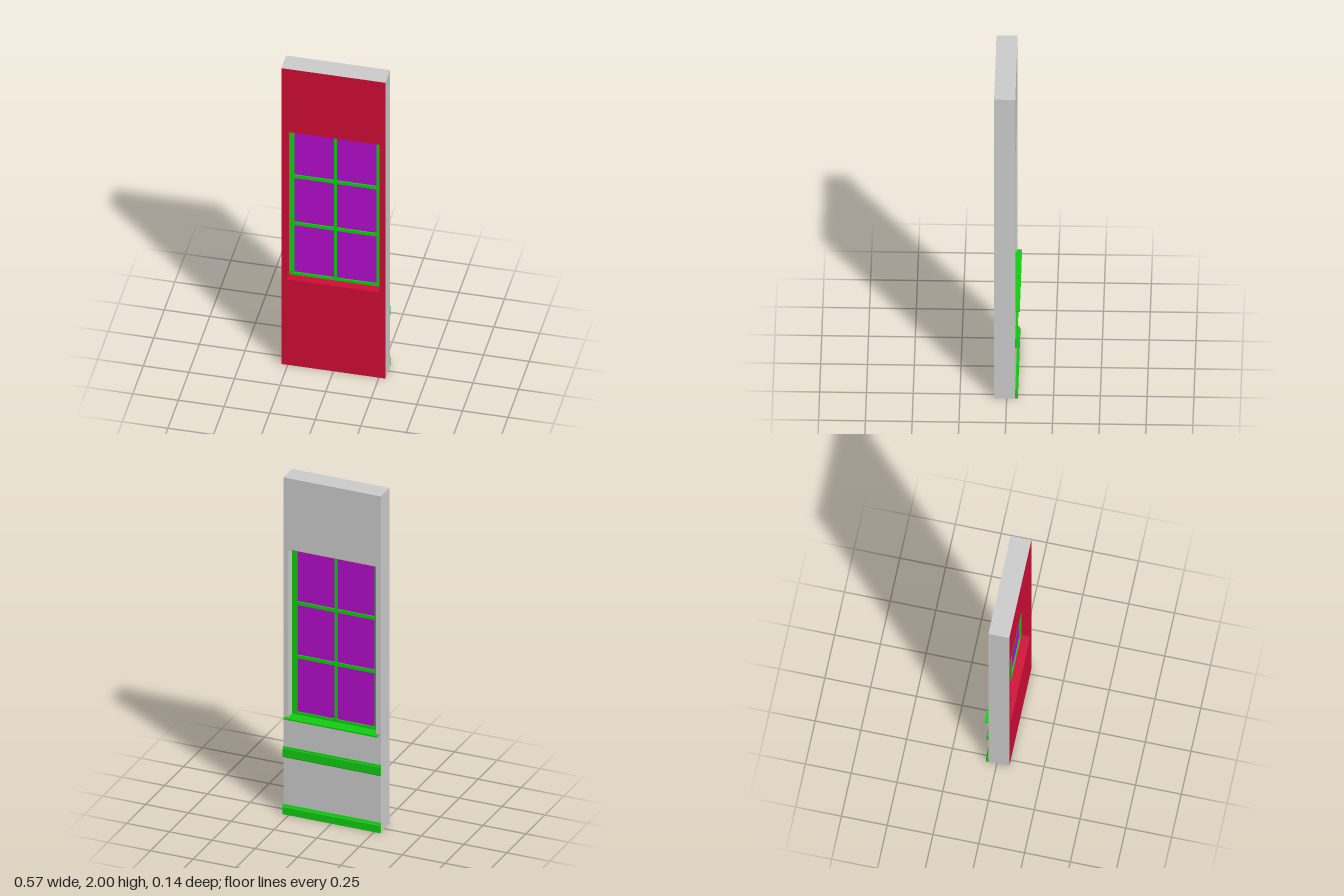
import * as THREE from 'three';

const material = (color) => new THREE.MeshStandardMaterial({ color });
const grey = material(0xcccccc);
const red = material(0xd00c36);
const green = material(0x12cc12);
const purple = material(0xb40ccc);

// Wall and window opening
const W = 0.285, H = 2, BACK = -0.046, FRONT = 0.068;
const OX = 0.255, OY0 = 0.576, OY1 = 1.576;
// Depth range of the window frame inside the opening
const F0 = 0, F1 = 0.02;

function add(parent, name, geometry, mat) {
  const mesh = new THREE.Mesh(geometry, mat);
  mesh.name = name;
  parent.add(mesh);
  return mesh;
}

// Box given by its two extreme corners
function block(parent, name, mat, x0, x1, y0, y1, z0, z1) {
  const mesh = add(parent, name, new THREE.BoxGeometry(x1 - x0, y1 - y0, z1 - z0), mat);
  mesh.position.set((x0 + x1) / 2, (y0 + y1) / 2, (z0 + z1) / 2);
  return mesh;
}

function rectangle(Kind, x0, x1, y0, y1) {
  const path = new Kind();
  path.moveTo(x0, y0);
  path.lineTo(x1, y0);
  path.lineTo(x1, y1);
  path.lineTo(x0, y1);
  path.closePath();
  return path;
}

// Moulding: a profile of [distance from wall, height] swept along x
function moulding(parent, name, halfWidth, profile) {
  const shape = new THREE.Shape(profile.map(([d, y]) => new THREE.Vector2(d, y)));
  const geometry = new THREE.ExtrudeGeometry(shape, { depth: 2 * halfWidth, bevelEnabled: false });
  geometry.rotateY(Math.PI / 2); // profile distance now runs to -z, sweep to +x
  geometry.translate(-halfWidth, 0, BACK);
  return add(parent, name, geometry, green);
}

export function createModel() {
  const model = new THREE.Group();
  model.name = 'windowWall';

  // Wall slab with the opening cut out
  const skin = 0.001;
  const wallShape = rectangle(THREE.Shape, -W, W, 0, H);
  wallShape.holes.push(rectangle(THREE.Path, -OX, OX, OY0, OY1));
  const slab = new THREE.ExtrudeGeometry(wallShape, { depth: FRONT - skin - BACK, bevelEnabled: false });
  slab.translate(0, 0, BACK);
  add(model, 'wall', slab, grey);

  // Coloured outer face
  const face = new THREE.ShapeGeometry(wallShape);
  face.translate(0, 0, FRONT);
  add(model, 'wallFace', face, red);

  // Coloured lining of the opening
  const lining = new THREE.Group();
  lining.name = 'openingLining';
  model.add(lining);
  block(lining, 'liningTop', red, -OX, OX, OY1 - skin, OY1, BACK, FRONT);
  block(lining, 'liningBottom', red, -OX, OX, OY0, OY0 + skin, F1, FRONT);
  block(lining, 'liningRight', red, -OX, -OX + skin, OY0, OY1, F1, FRONT);
  block(lining, 'liningLeft', red, OX - skin, OX, OY0, OY1, F1, FRONT);

  // Window frame, glazing bars and panes
  const win = new THREE.Group();
  win.name = 'window';
  model.add(win);
  const IX = 0.226, IY0 = 0.594, IY1 = 1.56;
  for (const side of [-1, 1]) {
    const xs = [side * IX, side * OX].sort((a, b) => a - b);
    block(win, 'frameStile', green, xs[0], xs[1], OY0, OY1, F0, F1);
  }
  block(win, 'frameHead', green, -IX, IX, IY1, OY1, F0, F1);
  block(win, 'frameFoot', green, -IX, IX, OY0, IY0, F0, F1);
  const bar = 0.008;
  block(win, 'verticalBar', green, -bar, bar, IY0, IY1, F0, F1);
  for (const y of [0.923, 1.241]) {
    for (const [x0, x1] of [[-IX, -bar], [bar, IX]]) {
      block(win, 'horizontalBar', green, x0, x1, y - 0.01, y + 0.01, F0, F1);
    }
  }
  const rows = [[IY0, 0.913], [0.933, 1.231], [1.251, IY1]];
  for (const [y0, y1] of rows) {
    block(win, 'pane', purple, -IX, -bar, y0, y1, 0.008, 0.012);
    block(win, 'pane', purple, bar, IX, y0, y1, 0.008, 0.012);
  }

  // Inner sill: board in the opening plus a wider nosing
  const sill = new THREE.Group();
  sill.name = 'sill';
  model.add(sill);
  block(sill, 'sillBoard', green, -OX, OX, 0.571, 0.579, BACK, F0);
  block(sill, 'sillNosing', green, -0.273, 0.273, 0.571, 0.579, -0.07, BACK);

  // Rail and skirting on the inner face
  moulding(model, 'wallRail', W, [
    [0, 0.338], [0.008, 0.338], [0.01, 0.342], [0.01, 0.388], [0.007, 0.394], [0.007, 0.4], [0, 0.4],
  ]);
  moulding(model, 'skirting', W, [
    [0, 0], [0.014, 0], [0.014, 0.042], [0.009, 0.05], [0.007, 0.056], [0, 0.056],
  ]);

  return model;
}
